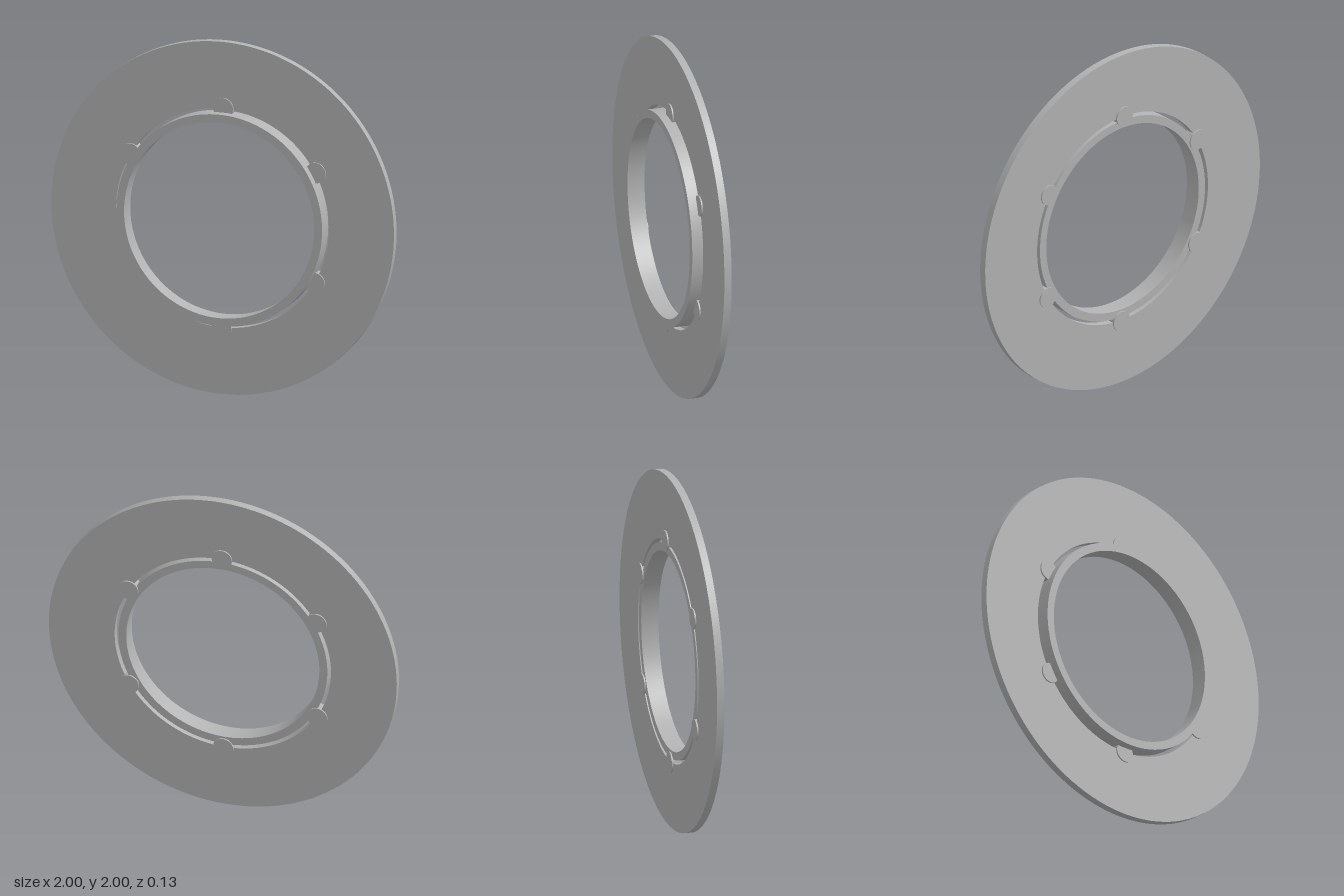
import * as THREE from 'three';
import { toCreasedNormals } from 'three/addons/utils/BufferGeometryUtils.js';

// Flat ring with a rectangular section, axis along z
function ringGeometry(inner, outer, back, front) {
  const profile = [
    [inner, back], [outer, back], [outer, front], [inner, front], [inner, back],
  ].map(([r, h]) => new THREE.Vector2(r, h));
  const geometry = new THREE.LatheGeometry(profile, 128);
  geometry.rotateX(Math.PI / 2);
  return toCreasedNormals(geometry, Math.PI / 6);
}

export function createModel() {
  const model = new THREE.Group();
  model.name = 'floatingDisc';
  const metal = new THREE.MeshStandardMaterial({ color: 0xb3b3b3 });
  metal.name = 'grey metal';

  // The whole assembly leans slightly back
  const assembly = new THREE.Group();
  assembly.name = 'discAssembly';
  assembly.position.set(0, 1, -0.023);
  assembly.rotation.x = -0.0205;
  model.add(assembly);

  function add(name, geometry) {
    const mesh = new THREE.Mesh(geometry, metal);
    mesh.name = name;
    assembly.add(mesh);
    return mesh;
  }

  // Wide outer disc and the deeper carrier ring, with a narrow gap between
  add('outerDisc', ringGeometry(0.622, 1, -0.021, 0.021));
  add('carrierRing', ringGeometry(0.555, 0.601, -0.021, 0.077));

  // Six round buttons bridging the gap, trimmed where they meet the ring bore
  const buttonGeometry = new THREE.CylinderGeometry(0.058, 0.058, 0.058, 40);
  buttonGeometry.rotateX(Math.PI / 2);
  for (let i = 0; i < 6; i++) {
    const angle = Math.PI / 2 + (i * Math.PI) / 3;
    const button = add('button' + (i + 1), buttonGeometry);
    button.position.set(0.625 * Math.cos(angle), 0.625 * Math.sin(angle), 0);
  }
  return model;
}
